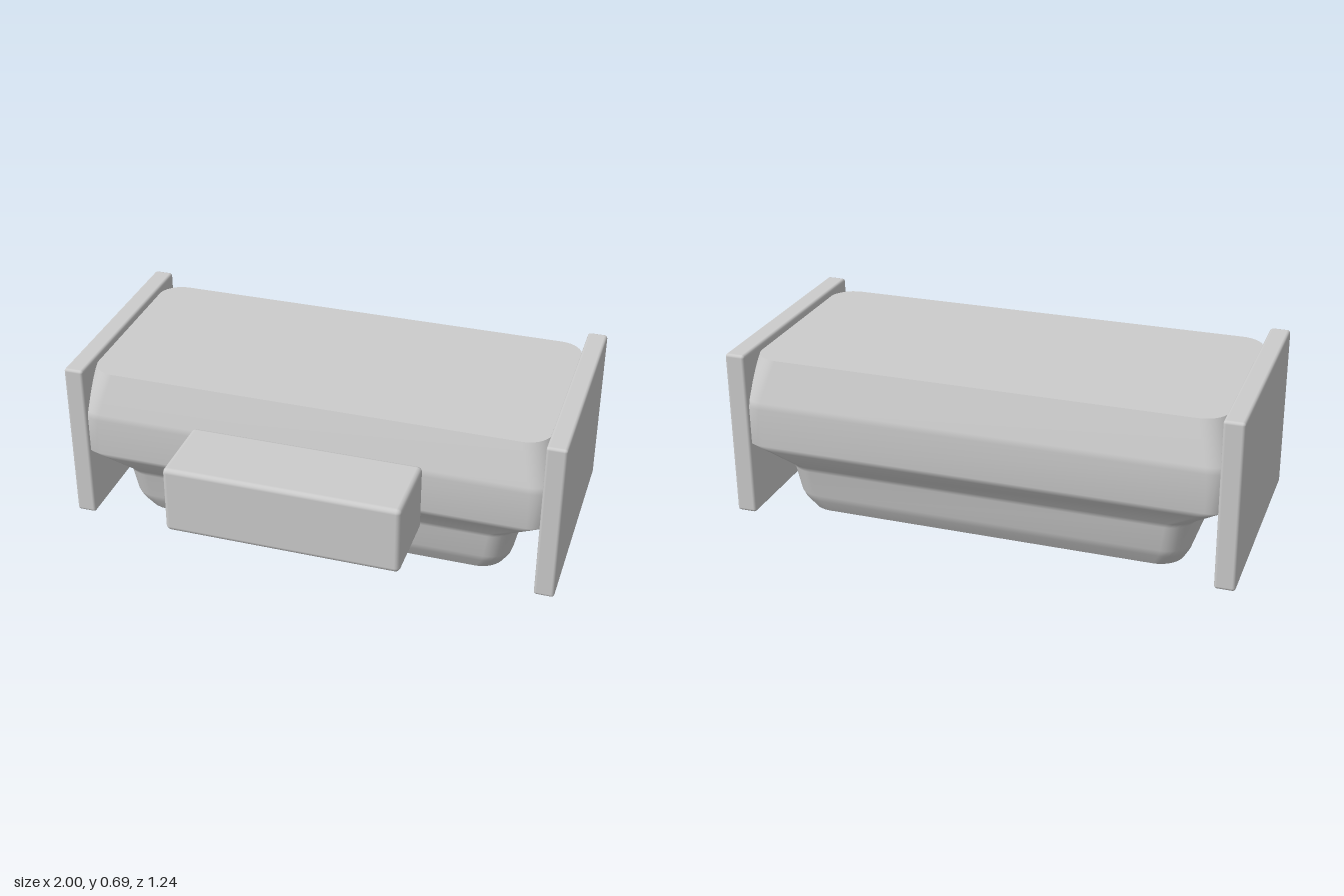
import * as THREE from 'three';
import { RoundedBoxGeometry } from 'three/addons/geometries/RoundedBoxGeometry.js';

const CENTER_Z = -0.155;
const CORNER_STEPS = 8;

// Outline of a rounded rectangle at height y, counter-clockwise seen from above
function ring(y, hx, hz, r) {
  const points = [];
  const corners = [[1, -1], [-1, -1], [-1, 1], [1, 1]];
  corners.forEach(([sx, sz], c) => {
    for (let i = 0; i <= CORNER_STEPS; i++) {
      const a = (c + i / CORNER_STEPS) * Math.PI / 2;
      points.push([sx * (hx - r) + r * Math.cos(a), y, sz * (hz - r) - r * Math.sin(a)]);
    }
  });
  return points;
}

// Smooth wall through the rings, closed by flat caps with their own vertices
function loft(rings) {
  const n = rings[0].length;
  const last = rings.length - 1;
  const vertices = rings.flat();
  const index = [];
  for (let k = 0; k < last; k++) {
    for (let i = 0; i < n; i++) {
      const a = k * n + i, b = k * n + (i + 1) % n;
      index.push(a, b, b + n, a, b + n, a + n);
    }
  }
  for (const top of [false, true]) {
    const start = vertices.length;
    vertices.push(...rings[top ? last : 0]);
    for (let i = 1; i < n - 1; i++) {
      index.push(start, start + (top ? i : i + 1), start + (top ? i + 1 : i));
    }
  }
  const geometry = new THREE.BufferGeometry();
  geometry.setAttribute('position', new THREE.Float32BufferAttribute(vertices.flat(), 3));
  geometry.setIndex(index);
  geometry.computeVertexNormals();
  return geometry;
}

export function createModel() {
  const model = new THREE.Group();
  const grey = new THREE.MeshStandardMaterial({ color: 0xcccccc });
  grey.name = 'light grey';

  const add = (name, geometry, x, y, z) => {
    const mesh = new THREE.Mesh(geometry, grey);
    mesh.name = name;
    mesh.position.set(x, y, z);
    model.add(mesh);
  };

  // Body: height, half width, half depth, corner radius; paired rings soften the bends
  const profile = [
    [0, 0.762, 0.33, 0.1],
    [0.05, 0.788, 0.357, 0.1],
    [0.08, 0.797, 0.368, 0.1],
    [0.19, 0.812, 0.386, 0.1],
    [0.21, 0.825, 0.393, 0.1],
    [0.29, 0.93, 0.453, 0.1],
    [0.315, 0.972, 0.465, 0.1],
    [0.47, 0.972, 0.465, 0.1],
    [0.495, 0.967, 0.46, 0.1],
    [0.655, 0.922, 0.405, 0.1],
  ];
  add('body', loft(profile.map((p) => ring(...p))), 0, 0, CENTER_Z);

  // End plates
  const plate = new RoundedBoxGeometry(0.08, 0.67, 0.93, 2, 0.012);
  add('leftEndPlate', plate, 0.96, 0.35, CENTER_Z);
  add('rightEndPlate', plate, -0.96, 0.35, CENTER_Z);

  // Block projecting from the front
  add('frontBlock', new RoundedBoxGeometry(0.93, 0.28, 0.32, 2, 0.02), 0, 0.372, 0.46);

  return model;
}
